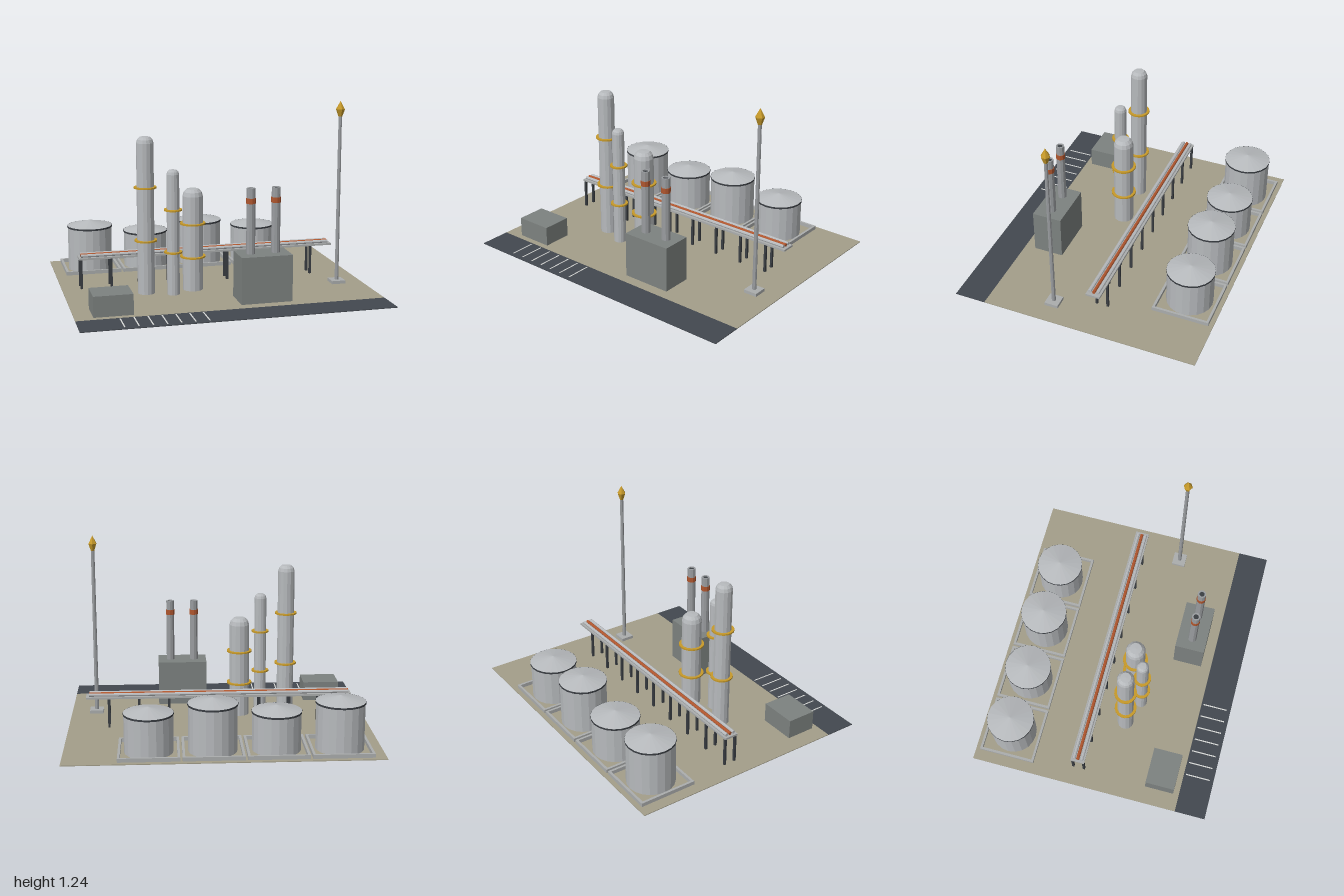
import * as THREE from 'three';

const mat = (name, color, side = THREE.FrontSide) => {
  const m = new THREE.MeshStandardMaterial({ color, flatShading: true, side });
  m.name = name;
  return m;
};

export function createModel() {
  const M = {
    sand: mat('sand ground', 0xa39e8a),
    asphalt: mat('asphalt', 0x43484f),
    paint: mat('road paint', 0xd6d8d6),
    steel: mat('light steel', 0xb7babd),
    concrete: mat('concrete', 0xabadad),
    wall: mat('building grey', 0x7d8280),
    dark: mat('dark steel', 0x3a3e43),
    gold: mat('safety yellow', 0xc79a2a),
    rust: mat('rust orange', 0xb0562e),
    pipe: mat('pipe grey', 0x9a9da0, THREE.DoubleSide),
  };
  const model = new THREE.Group();
  model.name = 'refinery';

  const add = (parent, name, geo, material, x, y, z) => {
    const mesh = new THREE.Mesh(geo, material);
    mesh.name = name;
    mesh.position.set(x, y, z);
    parent.add(mesh);
    return mesh;
  };
  // boxes and cylinders are placed by the centre of their base
  const box = (p, name, m, w, h, d, x, y, z) =>
    add(p, name, new THREE.BoxGeometry(w, h, d), m, x, y + h / 2, z);
  const cyl = (p, name, m, r, h, x, y, z, sides = 12, rTop = r) =>
    add(p, name, new THREE.CylinderGeometry(rTop, r, h, sides), m, x, y + h / 2, z);
  const lathe = (p, name, m, pts, sides, x, y, z) =>
    add(p, name, new THREE.LatheGeometry(pts.map(q => new THREE.Vector2(...q)), sides), m, x, y, z);
  const group = (name) => {
    const g = new THREE.Group();
    g.name = name;
    model.add(g);
    return g;
  };

  // Ground, road and parking lines
  const T = 0.005;
  box(model, 'ground', M.sand, 2, T, 1.45, 0, 0, -0.105);
  box(model, 'road', M.asphalt, 2, T, 0.21, 0, 0, 0.725);
  for (let i = 0; i < 7; i++) {
    box(model, 'parkingLine', M.paint, 0.008, 0.002, 0.17, -0.73 + i * 0.0867, T, 0.718);
  }

  // Storage tanks, each inside a low containment wall
  for (let i = 0; i < 4; i++) {
    const x = -0.735 + i * 0.4, z = -0.607, h = i % 2 ? 0.25 : 0.305;
    const g = group('storageTank');
    cyl(g, 'tankShell', M.steel, 0.155, h, x, 0, z, 20);
    cyl(g, 'tankRim', M.dark, 0.159, 0.012, x, h - 0.002, z, 20);
    cyl(g, 'tankRoof', M.steel, 0.158, 0.036, x, h + 0.01, z, 20, 0.001);
    for (const s of [-1, 1]) {
      box(g, 'dikeSide', M.concrete, 0.016, 0.03, 0.385, x + s * 0.1845, 0, z);
      box(g, 'dikeEnd', M.concrete, 0.353, 0.03, 0.016, x, 0, z + s * 0.1845);
    }
  }

  // Pipe rack
  const rack = group('pipeRack');
  box(rack, 'rackDeck', M.concrete, 1.765, 0.013, 0.096, -0.002, 0.202, -0.1);
  for (let i = 0; i < 9; i++) {
    for (const s of [-1, 1]) {
      box(rack, 'rackLeg', M.dark, 0.015, 0.202, 0.015, -0.87 + i * 0.2, 0, -0.1 + s * 0.038);
    }
  }
  for (const k of [-1, 0, 1]) {
    const pipe = add(rack, 'rackPipe', new THREE.CylinderGeometry(0.011, 0.011, 1.73, 8),
      k ? M.steel : M.rust, -0.004, 0.226, -0.1 + k * 0.027);
    pipe.rotation.z = Math.PI / 2;
  }

  // Distillation columns with walkway rings
  const columns = [
    { x: -0.47, z: 0.13, r: 0.056, h: 1.04, rings: [0.36, 0.71] },
    { x: -0.303, z: 0.2, r: 0.041, h: 0.83, rings: [0.288, 0.568] },
    { x: -0.153, z: 0.115, r: 0.067, h: 0.685, rings: [0.23, 0.453] },
  ];
  for (const { x, z, r, h, rings } of columns) {
    const g = group('column');
    const d = r * 0.72, s = h - d;
    lathe(g, 'columnShell', M.steel, [
      [0, 0], [r, 0], [r, s], [r * 0.88, s + d * 0.55], [r * 0.6, s + d * 0.95], [0, h],
    ], 14, x, 0, z);
    for (const y of rings) cyl(g, 'walkwayRing', M.gold, r + 0.018, 0.01, x, y - 0.005, z, 18);
  }

  // Furnace house with two chimneys
  const furnace = group('furnaceHouse');
  box(furnace, 'furnaceWalls', M.wall, 0.337, 0.31, 0.203, 0.23, 0, 0.447);
  for (const x of [0.147, 0.313]) {
    lathe(furnace, 'chimney', M.pipe, [
      [0.029, 0.3], [0.028, 0.735], [0.018, 0.735], [0.018, 0.7],
    ], 10, x, 0, 0.447);
    cyl(furnace, 'chimneyMouth', M.dark, 0.019, 0.004, x, 0.725, 0.447, 10);
    lathe(furnace, 'chimneyBand', M.rust, [[0.028, 0.636], [0.031, 0.636], [0.031, 0.671], [0.028, 0.671]], 10, x, 0, 0.447);
  }

  // Control hut
  box(model, 'controlHut', M.wall, 0.25, 0.138, 0.2, -0.76, 0, 0.48);

  // Flare stack
  const flare = group('flareStack');
  box(flare, 'flareBase', M.concrete, 0.093, 0.026, 0.093, 0.83, 0, 0.2);
  cyl(flare, 'flarePole', M.pipe, 0.014, 1.12, 0.83, 0.02, 0.2, 8, 0.012);
  lathe(flare, 'flareFlame', M.gold, [[0, 1.137], [0.013, 1.137], [0.03, 1.185], [0, 1.24]], 6, 0.83, 0, 0.2);

  return model;
}
